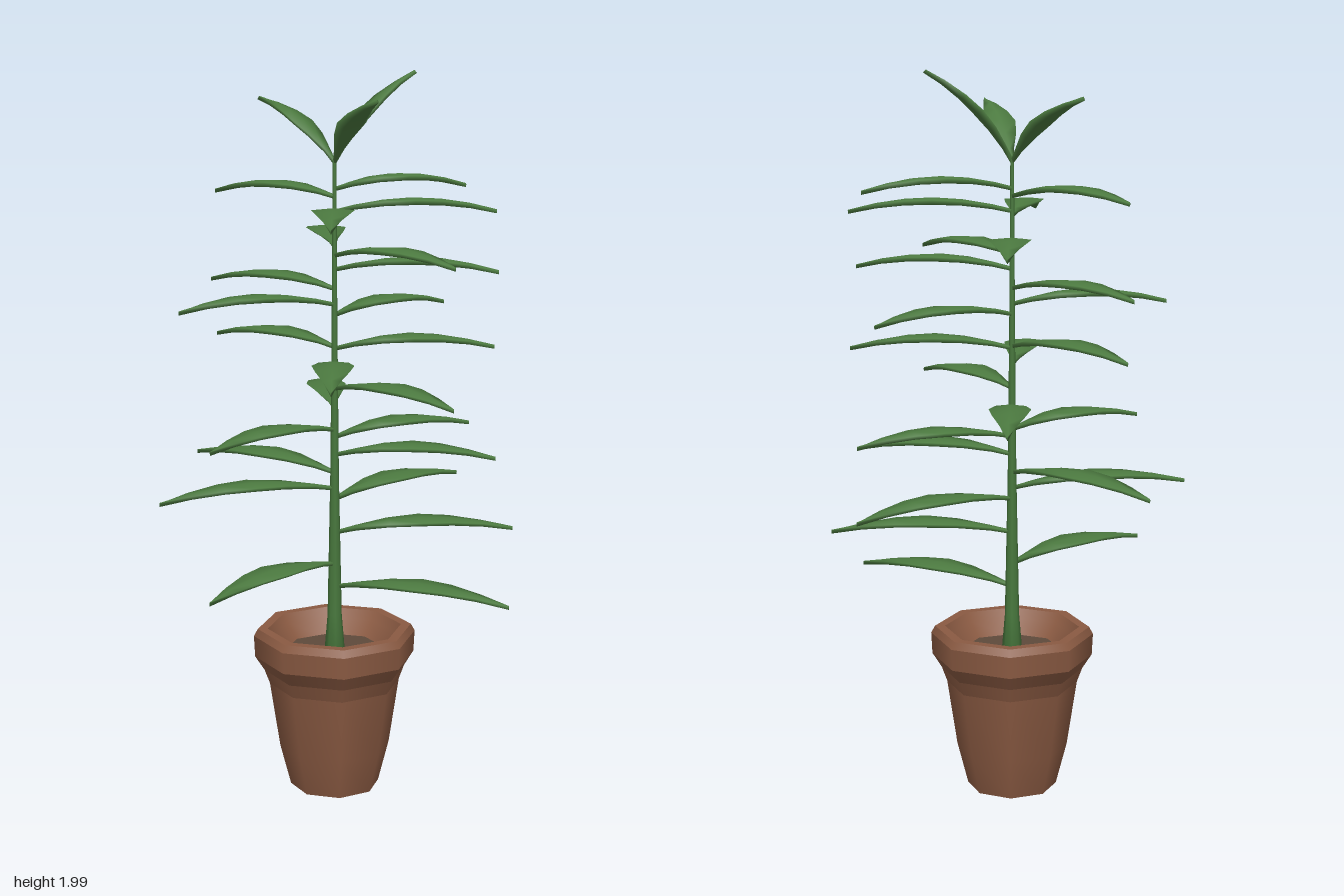
import * as THREE from 'three';

const leafGreen = new THREE.MeshStandardMaterial({ name: 'leafGreen', color: 0x4c7a40 });
const stemGreen = new THREE.MeshStandardMaterial({ name: 'stemGreen', color: 0x47773c });
const terracotta = new THREE.MeshStandardMaterial({ name: 'terracotta', color: 0x8a5a42 });
const soilBrown = new THREE.MeshStandardMaterial({ name: 'soilBrown', color: 0x5e4a3b });

const CX = -0.012; // stem axis

// Leaf tips [x, y, z], from the lowest to the highest
const LEAF_TIPS = [
  [0.43, 0.58, 0.25], [-0.375, 0.645, 0.34], [0.49, 0.735, 0], [0.385, 0.83, -0.305],
  [-0.495, 0.86, 0.125], [-0.375, 0.905, -0.34], [0.42, 0.955, 0.09], [0.395, 1.005, -0.175],
  [-0.365, 1.025, 0.26], [-0.012, 1.085, -0.44], [0.255, 1.14, 0.35], [-0.07, 1.205, 0.435],
  [-0.315, 1.255, -0.315], [0.43, 1.25, 0], [0.335, 1.342, -0.27], [-0.435, 1.37, 0.11],
  [-0.33, 1.413, -0.3], [0.42, 1.465, 0.09], [0.255, 1.503, 0.35], [-0.012, 1.528, -0.44],
  [-0.07, 1.608, 0.435], [0.43, 1.62, 0], [-0.315, 1.66, -0.315], [0.375, 1.68, -0.165],
];
const CROWN_TIPS = [[-0.2, 1.92, -0.178], [0.215, 1.99, -0.07], [0.072, 1.917, 0.23]];

// Leaf outline: [position along the leaf, share of the half width]
const OUTLINE = [[0, 0.08], [0.12, 0.28], [0.3, 0.72], [0.48, 1], [0.65, 0.8], [0.83, 0.42], [1, 0.02]];

// Arched, fleshy leaf: nearly flat on top, narrower underneath
function leafGeometry(base, tip, halfWidth, arch) {
  const along = tip.clone().sub(base).normalize();
  const side = new THREE.Vector3(along.z, 0, -along.x).normalize();
  const up = along.clone().cross(side);
  const positions = [], index = [];
  OUTLINE.forEach(([t, w], i) => {
    const mid = base.clone().lerp(tip, t).addScaledVector(up, 4 * t * (1 - t) * arch);
    const half = w * halfWidth, thick = 0.6 + 0.4 * w;
    const ring = [[half, 0.004], [0, 0.008], [-half, 0.004], [-half * 0.6, -0.01], [half * 0.6, -0.01]];
    for (const [s, u] of ring) {
      positions.push(...mid.clone().addScaledVector(side, s).addScaledVector(up, u * thick).toArray());
    }
    if (i === 0) return;
    for (let k = 0; k < 5; k++) {
      const a = (i - 1) * 5 + k, b = (i - 1) * 5 + (k + 1) % 5;
      index.push(a, b, b + 5, a, b + 5, a + 5);
    }
  });
  // Close both ends
  const last = (OUTLINE.length - 1) * 5;
  for (let k = 1; k < 4; k++) index.push(0, k + 1, k, last, last + k, last + k + 1);
  const geometry = new THREE.BufferGeometry();
  geometry.setAttribute('position', new THREE.Float32BufferAttribute(positions, 3));
  geometry.setIndex(index);
  geometry.computeVertexNormals();
  return geometry;
}

// Eight-sided turned shape; a repeated point makes a sharp edge
const turned = (points) => new THREE.LatheGeometry(points.map(([r, y]) => new THREE.Vector2(r, y)), 8);

export function createModel() {
  const model = new THREE.Group();
  model.name = 'pottedPlant';
  const add = (name, geometry, material, y = 0) => {
    const mesh = new THREE.Mesh(geometry, material);
    mesh.name = name;
    mesh.position.set(CX, y, 0);
    model.add(mesh);
  };

  // Pot with a collar, a thick rim and a sloping inner wall
  add('pot', turned([
    [0, 0.004], [0.125, 0.004], [0.125, 0.004], [0.155, 0.12], [0.183, 0.305], [0.183, 0.305],
    [0.198, 0.345], [0.198, 0.345], [0.224, 0.385], [0.224, 0.385], [0.227, 0.445], [0.227, 0.445],
    [0.216, 0.465], [0.216, 0.465], [0.188, 0.465], [0.188, 0.465], [0.172, 0.44], [0.13, 0.39],
  ]), terracotta);
  add('soil', new THREE.CylinderGeometry(0.138, 0.13, 0.02, 8), soilBrown, 0.39);

  // Tapering stem
  add('stem', turned([
    [0, 0.38], [0.03, 0.38], [0.02, 0.5], [0.016, 0.7], [0.012, 0.9], [0.008, 1.3], [0.005, 1.76], [0, 1.765],
  ]), stemGreen);

  // Leaves are modelled relative to the stem axis
  const addLeaf = (name, [x, y, z], baseY, halfWidth, arch) => add(name,
    leafGeometry(new THREE.Vector3(0, baseY, 0), new THREE.Vector3(x - CX, y, z), halfWidth, arch), leafGreen);

  // Spreading leaves along the stem
  LEAF_TIPS.forEach((tip, i) => addLeaf(`leaf${i + 1}`, tip, tip[1] + 0.003, 0.056, 0.029));

  // Upright young leaves at the crown
  CROWN_TIPS.forEach((tip, i) => addLeaf(`crownLeaf${i + 1}`, tip, 1.755, 0.043, 0.028));
  return model;
}
